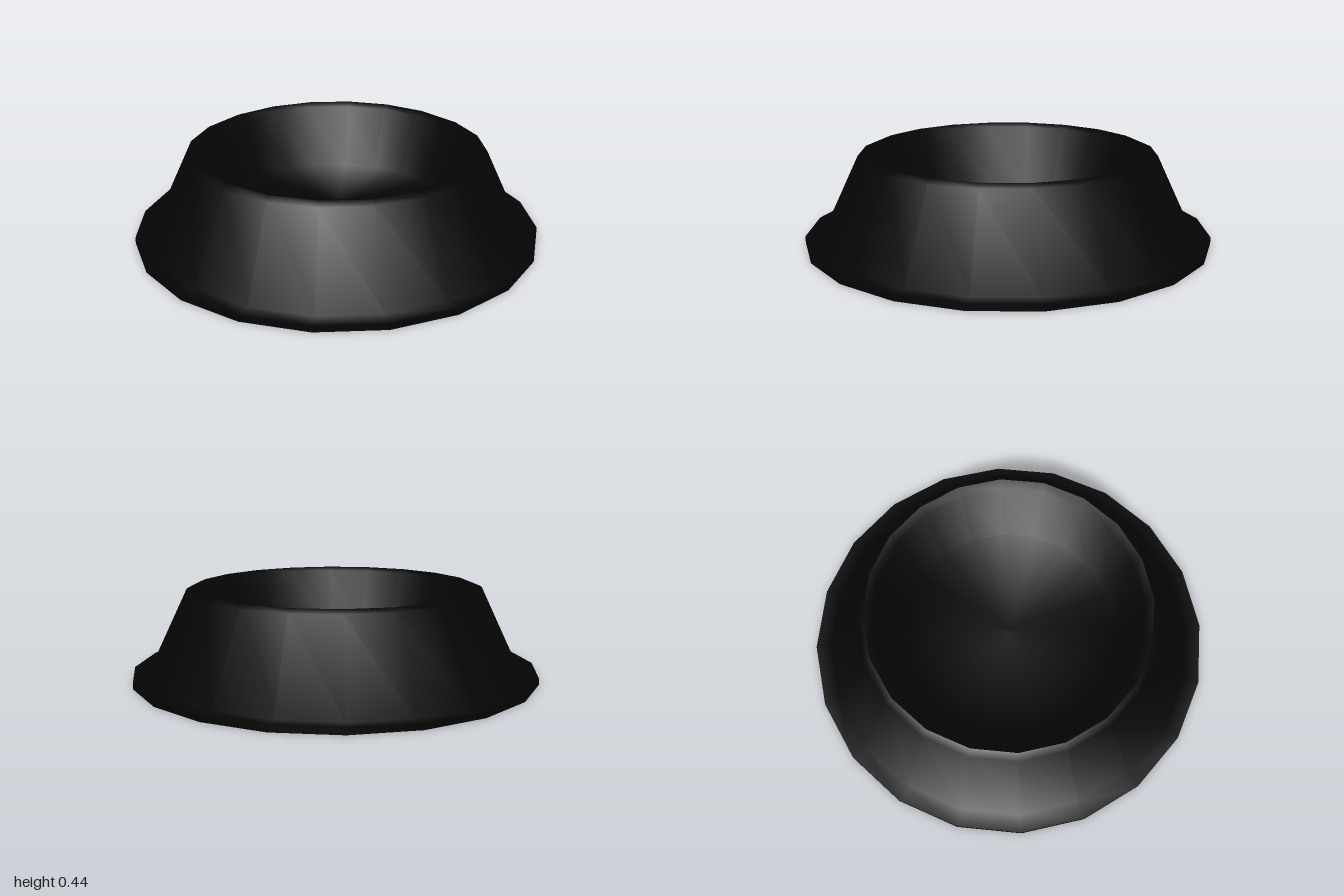
import * as THREE from 'three';
import { toCreasedNormals } from 'three/addons/utils/BufferGeometryUtils.js';

const SIDES = 20;

export function createModel() {
  const group = new THREE.Group();
  group.name = 'bowl';
  const blackPlastic = new THREE.MeshStandardMaterial({ color: 0x040404 });
  blackPlastic.name = 'blackPlastic';

  // Turn a [radius, height] profile, keeping only the square edges sharp
  function turned(name, profile) {
    const points = profile.map(([r, y]) => new THREE.Vector2(r, y));
    const geometry = toCreasedNormals(new THREE.LatheGeometry(points, SIDES), 1.3);
    const mesh = new THREE.Mesh(geometry, blackPlastic);
    mesh.name = name;
    group.add(mesh);
  }

  // Sloping outer wall with its foot flange, hollow beneath
  turned('skirt', [
    [0.67, 0.41], [0.7, 0.41], [0.885, 0.03], [0.885, 0],
    [1, 0], [1, 0.03], [0.92, 0.03], [0.73, 0.425], [0.695, 0.44],
  ]);

  // Rim, steep inner wall and flat floor of the dish
  turned('dishInside', [
    [0.695, 0.44], [0.65, 0.425], [0.545, 0.12], [0, 0.12],
  ]);

  // Underside of the dish, hanging inside the skirt
  turned('dishUnderside', [
    [0, 0.09], [0.57, 0.09], [0.67, 0.41],
  ]);

  return group;
}
